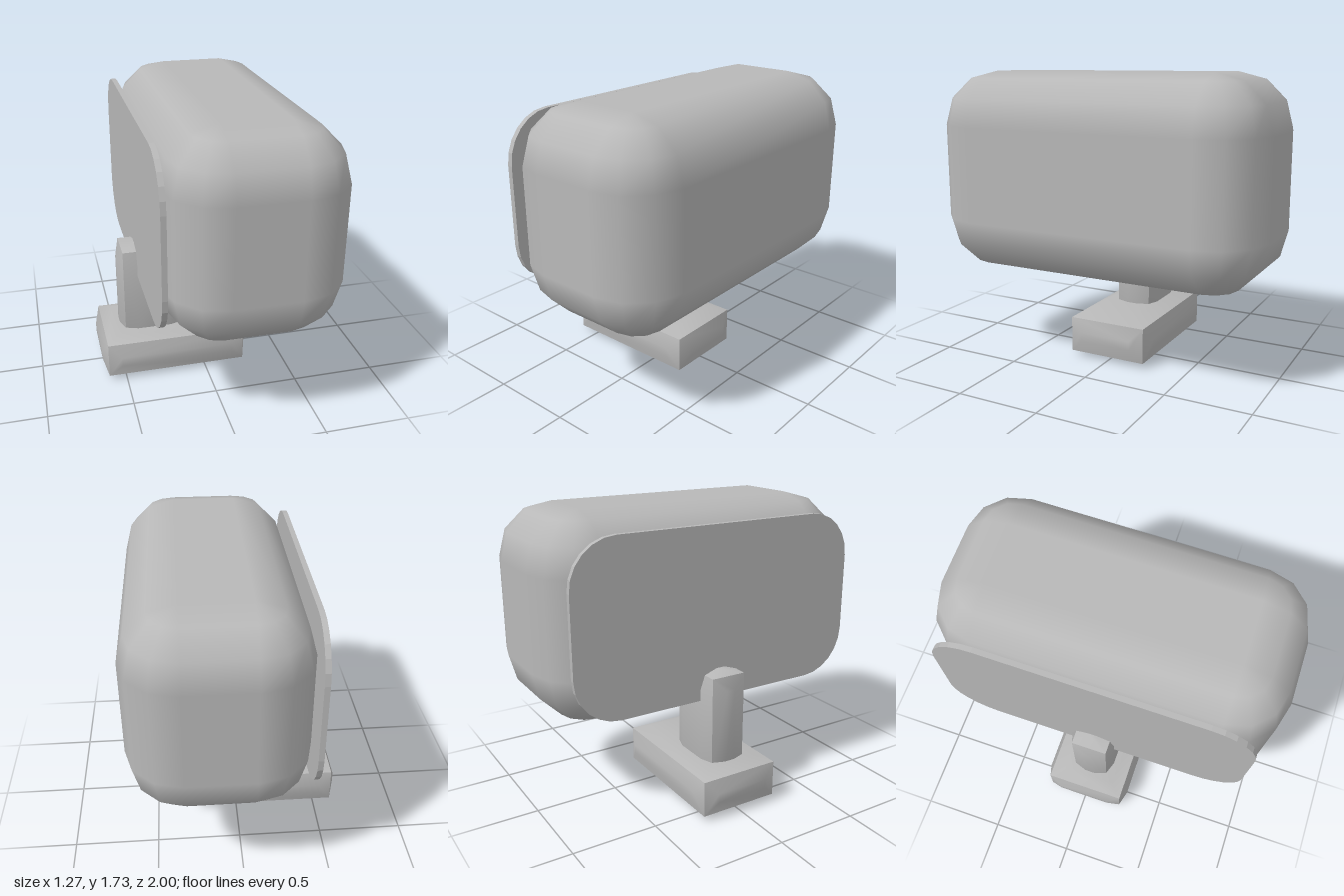
import * as THREE from 'three';
import { toCreasedNormals } from 'three/addons/utils/BufferGeometryUtils.js';
import { ConvexGeometry } from 'three/addons/geometries/ConvexGeometry.js';

const grey = new THREE.MeshStandardMaterial({ color: 0xb8b8b8 });
grey.name = 'grey';

// Box with coarse rounded edges (three steps per quarter), stacked from rounded-rectangle rings
function roundedBlock(hx, hy, hz, r, steps = 3) {
  const pos = [], nor = [], idx = [], quarter = Math.PI / 2;
  const ring = 4 * (steps + 1), rows = 2 * (steps + 1);
  for (let j = 0; j < rows; j++) {
    const upper = j > steps;
    const lat = ((upper ? j - 1 : j) / steps - 1) * quarter;
    for (let q = 0; q < 4; q++) {
      const sx = q === 0 || q === 3 ? 1 : -1, sz = q < 2 ? 1 : -1;
      for (let k = 0; k <= steps; k++) {
        const a = (q + k / steps) * quarter;
        const n = [Math.cos(lat) * Math.cos(a), Math.sin(lat), Math.cos(lat) * Math.sin(a)];
        nor.push(...n);
        pos.push(sx * (hx - r) + r * n[0], (upper ? 1 : -1) * (hy - r) + r * n[1], sz * (hz - r) + r * n[2]);
      }
    }
  }
  for (let j = 0; j < rows - 1; j++) {
    for (let i = 0; i < ring; i++) {
      const a = j * ring + i, b = j * ring + (i + 1) % ring;
      idx.push(a, a + ring, b, b, a + ring, b + ring);
    }
  }
  // Flat caps
  const top = (rows - 1) * ring;
  for (let i = 1; i < ring - 1; i++) idx.push(0, i, i + 1, top, top + i + 1, top + i);
  const g = new THREE.BufferGeometry();
  g.setAttribute('position', new THREE.Float32BufferAttribute(pos, 3));
  g.setAttribute('normal', new THREE.Float32BufferAttribute(nor, 3));
  g.setIndex(idx);
  return g;
}

// Box whose six faces each swell out to a smaller flat panel
function swollenBox(hx, hy, hz, inset, bulge) {
  const pts = [];
  for (const x of [-1, 1]) for (const y of [-1, 1]) for (const z of [-1, 1]) {
    const c = new THREE.Vector3(x * hx, y * hy, z * hz);
    pts.push(c);
    ['x', 'y', 'z'].forEach((axis) => {
      const s = { x, y, z };
      const p = new THREE.Vector3(c.x - x * inset, c.y - y * inset, c.z - z * inset);
      p[axis] = c[axis] + s[axis] * bulge;
      pts.push(p);
    });
  }
  return toCreasedNormals(new ConvexGeometry(pts), 0.65);
}

// Thin rounded panel facing sideways
function sidePanel(hz, hy, r, depth) {
  const s = new THREE.Shape();
  s.absarc(hz - r, hy - r, r, 0, Math.PI / 2);
  s.absarc(r - hz, hy - r, r, Math.PI / 2, Math.PI);
  s.absarc(r - hz, r - hy, r, Math.PI, Math.PI * 1.5);
  s.absarc(hz - r, r - hy, r, Math.PI * 1.5, Math.PI * 2);
  return new THREE.ExtrudeGeometry(s, { depth, bevelEnabled: false, curveSegments: 3 }).rotateY(Math.PI / 2);
}

export function createModel() {
  const model = new THREE.Group();
  const add = (name, geometry, x, y, z) => {
    const mesh = new THREE.Mesh(geometry, grey);
    mesh.name = name;
    mesh.position.set(x, y, z);
    model.add(mesh);
  };

  add('housing', roundedBlock(0.498, 0.59, 1, 0.315), 0.133, 1.14, 0);
  add('sidePanel', sidePanel(0.905, 0.5, 0.27, 0.03), -0.395, 1.14, 0);
  add('post', swollenBox(0.178, 0.295, 0.107, 0.08, 0.028), -0.298, 0.495, 0);
  add('foot', swollenBox(0.423, 0.107, 0.242, 0.08, 0.03), -0.183, 0.137, 0);
  return model;
}
